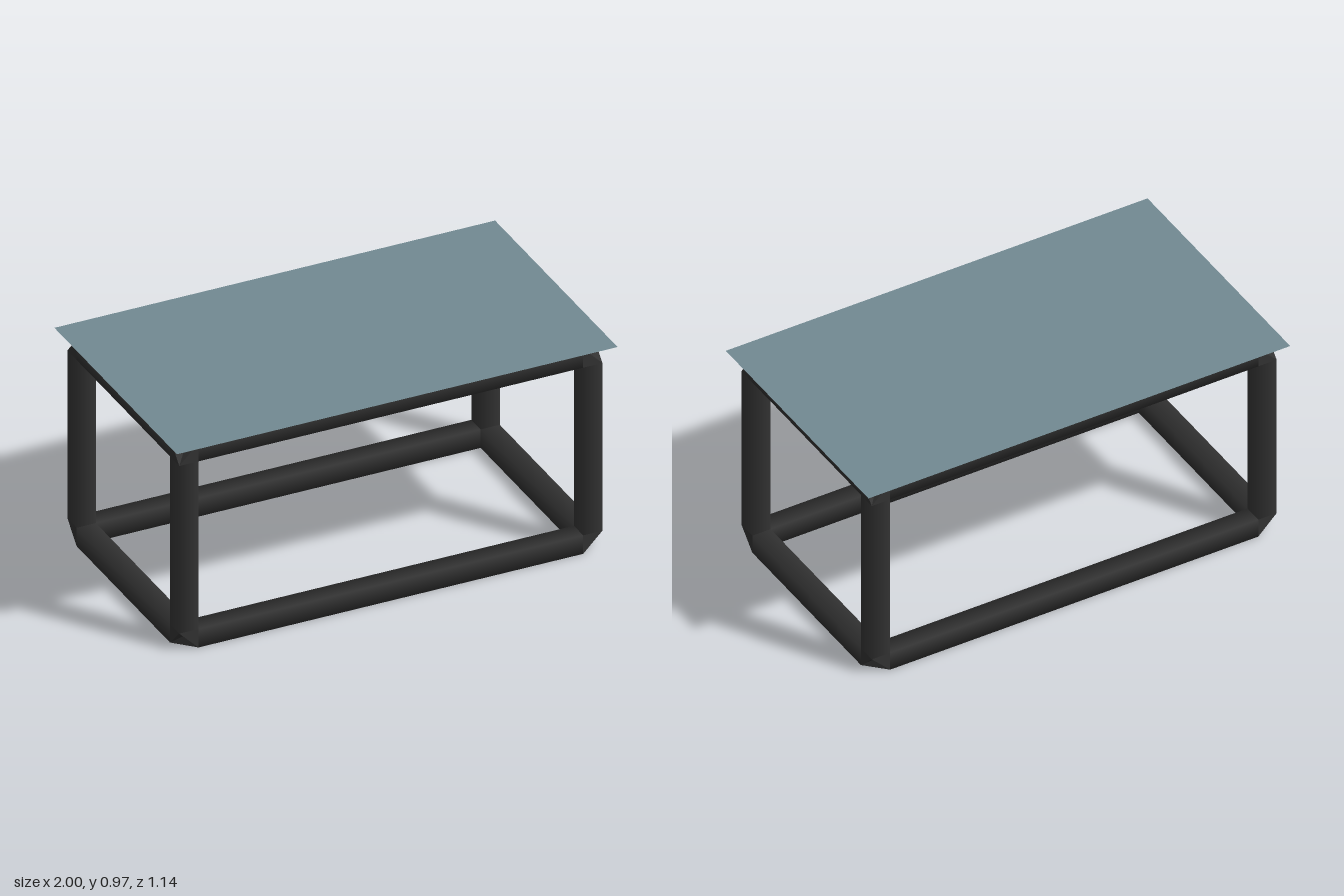
import * as THREE from 'three';

const H = 0.0435;                 // half width of a bar
const CX = -0.005;                // frame sits slightly off centre in x
const X = 0.9165, Z = 0.4795, YC = 0.4825, Y = 0.439; // bar centre lines

export function createModel() {
  const model = new THREE.Group();
  model.name = 'coffeeTable';
  const dark = new THREE.MeshStandardMaterial({ color: 0x333333, side: THREE.DoubleSide });
  const glass = new THREE.MeshStandardMaterial({ color: 0x728a92, side: THREE.DoubleSide });

  const frame = new THREE.Group();
  frame.name = 'frame';
  frame.position.set(CX, YC, 0);
  model.add(frame);

  // Square bar with soft shading, open where it meets the corners
  function bar(name, axis, half, x, y, z) {
    const geo = new THREE.CylinderGeometry(H * Math.SQRT2, H * Math.SQRT2, 2 * (half - H), 4, 1, true);
    geo.rotateY(Math.PI / 4);
    if (axis === 'x') geo.rotateZ(Math.PI / 2);
    if (axis === 'z') geo.rotateX(Math.PI / 2);
    const mesh = new THREE.Mesh(geo, dark);
    mesh.name = name;
    mesh.position.set(x, y, z);
    frame.add(mesh);
  }

  // Corner joint: outer faces cut diagonally, with a dent in place of the tip
  function corner(sx, sy, sz) {
    const pts = [
      [1, -1, -1], [-1, 1, -1], [-1, -1, 1],  // single-axis corners
      [1, 1, -1], [-1, 1, 1], [1, -1, 1],     // ends of the diagonal cuts
      [0, 0, 0],                              // bottom of the dent
    ];
    const faces = [[0, 3, 5], [1, 4, 3], [2, 5, 4], [6, 5, 3], [6, 3, 4], [6, 4, 5]];
    const flip = sx * sy * sz < 0;
    const geo = new THREE.BufferGeometry();
    geo.setAttribute('position', new THREE.Float32BufferAttribute(
      pts.flatMap(([x, y, z]) => [x * sx * H, y * sy * H, z * sz * H]), 3));
    geo.setIndex(faces.flatMap(([a, b, c]) => (flip ? [a, c, b] : [a, b, c])));
    const flat = geo.toNonIndexed();
    flat.computeVertexNormals();
    const mesh = new THREE.Mesh(flat, dark);
    mesh.name = 'cornerJoint';
    mesh.position.set(sx * X, sy * Y, sz * Z);
    frame.add(mesh);
  }

  for (const a of [-1, 1]) {
    for (const b of [-1, 1]) {
      bar('longRail', 'x', X, 0, a * Y, b * Z);
      bar('leg', 'y', Y, a * X, 0, b * Z);
      bar('shortRail', 'z', Z, a * X, b * Y, 0);
      for (const c of [-1, 1]) corner(a, b, c);
    }
  }

  // Thin overhanging top
  const top = new THREE.Mesh(new THREE.PlaneGeometry(2, 1.145).rotateX(-Math.PI / 2), glass);
  top.name = 'tableTop';
  top.position.y = 0.968;
  model.add(top);

  return model;
}
